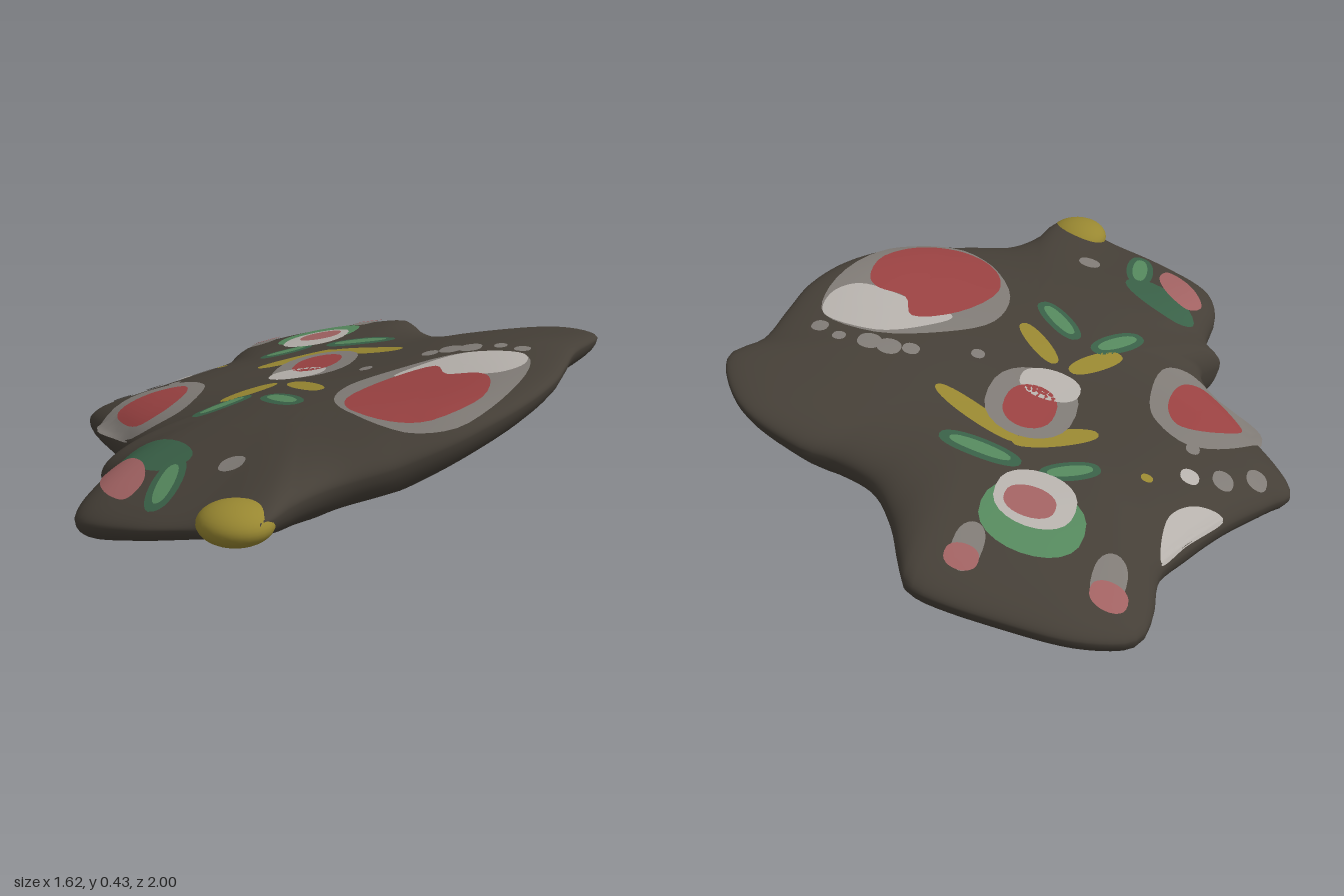
import * as THREE from 'three';

const SEG = 200;
const material = (name, color) => {
  const m = new THREE.MeshStandardMaterial({ color, side: THREE.DoubleSide });
  m.name = name;
  return m;
};
const MATS = {
  stone: material('dark stone', 0x453f37),
  red: material('red', 0x9a4242),
  pink: material('pink', 0xa16262),
  white: material('pale grey', 0xb6b1ac),
  grey: material('grey', 0x807b76),
  yellow: material('ochre yellow', 0x988731),
  darkGreen: material('dark green', 0x396047),
  green: material('green', 0x55885d),
};

// closed smooth curve through x,z pairs
function closedCurve(xz, count) {
  const pts = [];
  for (let i = 0; i < xz.length; i += 2) pts.push(new THREE.Vector3(xz[i], 0, xz[i + 1]));
  return new THREE.CatmullRomCurve3(pts, true).getPoints(count).slice(0, count);
}

// plan of the slab
const OUTLINE = closedCurve([
  -0.5, -0.9, -0.38, -0.97, -0.2, -0.995, 0.08, -0.98, 0.12, -0.92, 0.2, -0.76, 0.3, -0.64,
  0.42, -0.6, 0.5, -0.61, 0.68, -0.56, 0.78, -0.45, 0.81, -0.36, 0.76, -0.25, 0.75, -0.08,
  0.74, 0.08, 0.68, 0.27, 0.56, 0.45, 0.4, 0.58, 0.26, 0.68, 0.19, 0.8, 0.15, 0.95,
  0.07, 0.99, -0.02, 0.93, -0.22, 0.88, -0.41, 0.79, -0.46, 0.68, -0.46, 0.48, -0.52, 0.39,
  -0.47, 0.31, -0.52, 0.2, -0.65, 0.05, -0.81, -0.17, -0.76, -0.24, -0.65, -0.38,
  -0.56, -0.53, -0.51, -0.64, -0.52, -0.8,
], 240);

// distance from the centre to the outline in direction a
function radius(a) {
  const c = Math.cos(a), s = Math.sin(a);
  let best = 0.5;
  OUTLINE.forEach((p, i) => {
    const q = OUTLINE[(i + 1) % OUTLINE.length];
    const d1 = c * p.z - s * p.x, d2 = c * q.z - s * q.x;
    if (d1 * d2 > 0 || d1 === d2) return;
    const t = d1 / (d1 - d2);
    const r = c * (p.x + (q.x - p.x) * t) + s * (p.z + (q.z - p.z) * t);
    if (r > 0) best = r;
  });
  return best;
}

// tilted upper and lower faces, rounded towards the rim
const topBase = (x, z) =>
  0.32 + 0.2 * x - 0.12 * Math.max(0, z - 0.4) + 0.007 * Math.sin(7 * x + 2) * Math.sin(6 * z);
const bottomBase = (x, z) => Math.max(0.004, 0.1 + 0.2 * x) + 0.25 * Math.max(0, x - 0.4)
  + 0.2 * Math.max(0, z - 0.65) + 0.1 * Math.max(0, -0.5 - z);
function height(x, z, s, upper) {
  const t = topBase(x, z), b = bottomBase(x, z), mid = (t + b) / 2;
  const k = Math.sqrt(Math.max(0, 1 - Math.pow(s, upper ? 5 : 12)));
  return mid + ((upper ? t : b) - mid) * k;
}

// skin through rows of closed rings
function loft(rows) {
  const n = rows[0].length, pos = [], idx = [];
  rows.forEach((row) => row.forEach((p) => pos.push(p.x, p.y, p.z)));
  for (let i = 0; i < rows.length - 1; i++) {
    for (let j = 0; j < n; j++) {
      const a = i * n + j, b = i * n + (j + 1) % n;
      idx.push(a, b, a + n, b, b + n, a + n);
    }
  }
  const g = new THREE.BufferGeometry();
  g.setAttribute('position', new THREE.Float32BufferAttribute(pos, 3));
  g.setIndex(idx);
  g.computeVertexNormals();
  return g;
}

export function createModel() {
  const group = new THREE.Group();
  const add = (name, geo, mat, parent = group) => {
    const m = new THREE.Mesh(geo, MATS[mat]);
    m.name = name;
    parent.add(m);
    return m;
  };

  // upper face and rounded rim
  const radii = Array.from({ length: SEG }, (_, j) => radius((-j / SEG) * Math.PI * 2));
  const ring = (s, upper) => radii.map((r, j) => {
    const a = (-j / SEG) * Math.PI * 2;
    const x = Math.cos(a) * r * s, z = Math.sin(a) * r * s;
    return new THREE.Vector3(x, height(x, z, s, upper), z);
  });
  const rows = [];
  for (let i = 0; i <= 32; i++) rows.push(ring(Math.pow(Math.sin((i / 32) * Math.PI / 2), 0.9), true));
  for (const s of [0.997, 0.985, 0.965, 0.94, 0.91, 0.88]) rows.push(ring(s, false));
  add('slab', loft(rows), 'stone');

  // underside with its angular opening
  const edge = rows[rows.length - 1];
  const shape = new THREE.Shape(edge.map((p) => new THREE.Vector2(p.x, p.z)));
  const hole = [[0.6, -0.27], [0, 0.18], [-0.5, -0.3], [-0.41, -0.52], [-0.28, -0.76], [-0.06, -0.77]];
  shape.holes.push(new THREE.Path(hole.map(([x, z]) => new THREE.Vector2(x, z))));
  const under = new THREE.ShapeGeometry(shape);
  const up = under.attributes.position;
  for (let i = 0; i < up.count; i++) {
    const x = up.getX(i), z = up.getY(i);
    up.setXYZ(i, x, height(x, z, i < SEG ? 0.88 : 0.5, false), z);
  }
  under.computeVertexNormals();
  add('underside', under, 'stone');

  // painted patch laid on the upper face, showing on its inside too
  const paint = new THREE.Group();
  paint.name = 'paintedMarks';
  group.add(paint);
  function patch(name, mat, layer, points) {
    const c = new THREE.Vector3();
    points.forEach((p) => c.addScaledVector(p, 1 / points.length));
    for (const side of [1, -1]) {
      const rings = [];
      for (let i = 0; i <= 6; i++) {
        rings.push(points.map((p) => {
          const q = c.clone().lerp(p, i / 6);
          const R = radius(Math.atan2(q.z, q.x));
          const s = Math.min(0.985, Math.hypot(q.x, q.z) / R);
          q.y = height(q.x, q.z, s, true) + side * (0.002 + 0.002 * layer);
          return q;
        }));
      }
      add(name, loft(rings), mat, paint);
    }
  }
  const blob = (name, mat, layer, xz) => patch(name, mat, layer, closedCurve(xz, 40));
  const oval = (name, mat, layer, x, z, rx, rz, rot = 0) => {
    const pts = [];
    for (let i = 0; i < 24; i++) {
      const a = (i / 24) * Math.PI * 2, u = Math.cos(a) * rx;
      const v = Math.sign(Math.sin(a)) * Math.pow(Math.abs(Math.sin(a)), 0.8) * rz;
      pts.push(new THREE.Vector3(x + u * Math.cos(rot) - v * Math.sin(rot), 0,
        z + u * Math.sin(rot) + v * Math.cos(rot)));
    }
    patch(name, mat, layer, pts);
  };

  // large and small side rounds
  blob('largeHalo', 'grey', 1, [0.45, -0.13, 0.62, -0.1, 0.66, 0.05, 0.62, 0.3, 0.53, 0.45,
    0.4, 0.49, 0.24, 0.4, 0.14, 0.25, 0.15, 0.1, 0.26, -0.02]);
  blob('largeHighlight', 'white', 2, [0.45, -0.12, 0.62, -0.1, 0.64, 0.02, 0.58, 0.1,
    0.42, 0.09, 0.27, 0.06, 0.32, -0.02]);
  blob('largeRound', 'red', 3, [0.38, 0, 0.43, 0.09, 0.52, 0.1, 0.56, 0.14, 0.57, 0.3,
    0.46, 0.44, 0.35, 0.45, 0.22, 0.37, 0.18, 0.26, 0.26, 0.09]);
  blob('sideHalo', 'grey', 1, [-0.5, -0.19, -0.39, -0.12, -0.36, 0, -0.38, 0.16, -0.46, 0.2,
    -0.6, 0.12, -0.7, 0.02, -0.64, -0.12]);
  blob('sideRound', 'red', 2, [-0.46, -0.12, -0.42, -0.05, -0.44, 0.1, -0.5, 0.14,
    -0.6, 0.06, -0.64, -0.02, -0.56, -0.1]);
  blob('edgePatch', 'white', 1, [-0.51, -0.62, -0.5, -0.48, -0.56, -0.4, -0.64, -0.38, -0.56, -0.52]);

  // centre and back rounds
  oval('centreHalo', 'grey', 2, -0.05, -0.22, 0.13, 0.16);
  oval('centreHighlight', 'white', 3, -0.08, -0.12, 0.09, 0.07);
  oval('centreRound', 'red', 3, -0.05, -0.24, 0.075, 0.1);
  oval('backArch', 'green', 1, -0.17, -0.68, 0.14, 0.13);
  oval('backHalo', 'white', 2, -0.16, -0.61, 0.11, 0.11);
  oval('backRound', 'pink', 3, -0.15, -0.63, 0.07, 0.06);

  // strokes: x, z, half length, half width, angle
  for (const [x, z, l, w, r] of [[-0.15, -0.34, 0.13, 0.035, -0.6], [0.08, -0.34, 0.15, 0.035, 0.42],
    [-0.18, 0.05, 0.1, 0.035, -0.9], [0, 0.06, 0.1, 0.032, 0.8], [-0.42, -0.38, 0.017, 0.015, 0]]) {
    oval('yellowStroke', 'yellow', 1, x, z, l, w, r);
  }
  for (const [x, z, l, w, r] of [[-0.22, -0.46, 0.09, 0.037, -0.6], [0.03, -0.48, 0.12, 0.042, 0.1],
    [-0.22, 0.18, 0.1, 0.04, -0.9], [-0.03, 0.2, 0.1, 0.042, 0.75], [-0.19, 0.71, 0.13, 0.045, 1.45]]) {
    oval('greenStroke', 'darkGreen', 1, x, z, l, w, r);
    oval('greenStrokeCore', 'green', 2, x, z, l * 0.75, w * 0.55, r);
  }

  // front corner marks
  oval('cornerGreen', 'darkGreen', 1, -0.29, 0.53, 0.14, 0.075, 0.65);
  blob('cornerPink', 'pink', 3, [-0.38, 0.53, -0.31, 0.58, -0.26, 0.7, -0.28, 0.77, -0.36, 0.72, -0.42, 0.6]);

  // back corner marks and scattered dots
  oval('backDotHalo', 'grey', 1, -0.4, -0.79, 0.045, 0.09);
  oval('backDot', 'pink', 2, -0.41, -0.84, 0.05, 0.045);
  oval('backDotHalo', 'grey', 1, -0.04, -0.84, 0.04, 0.08);
  oval('backDot', 'pink', 2, -0.035, -0.88, 0.045, 0.04);
  for (const [x, z, r] of [[-0.71, -0.21, 0.03], [-0.62, -0.27, 0.03], [-0.52, -0.2, 0.02],
    [0.33, -0.16, 0.025], [0.39, -0.18, 0.035], [0.45, -0.18, 0.035], [0.54, -0.19, 0.02],
    [0.61, -0.16, 0.025], [0.15, -0.08, 0.02], [-0.03, 0.64, 0.035]]) {
    oval('greyDot', 'grey', 1, x, z, r, r * 1.1);
  }
  oval('paleDot', 'white', 1, -0.53, -0.31, 0.027, 0.027);

  // yellow knob on the front edge
  const knob = add('frontKnob', new THREE.SphereGeometry(1, 28, 18), 'yellow');
  knob.scale.set(0.1, 0.055, 0.097);
  knob.position.set(0.07, 0.222, 0.9);
  return group;
}
